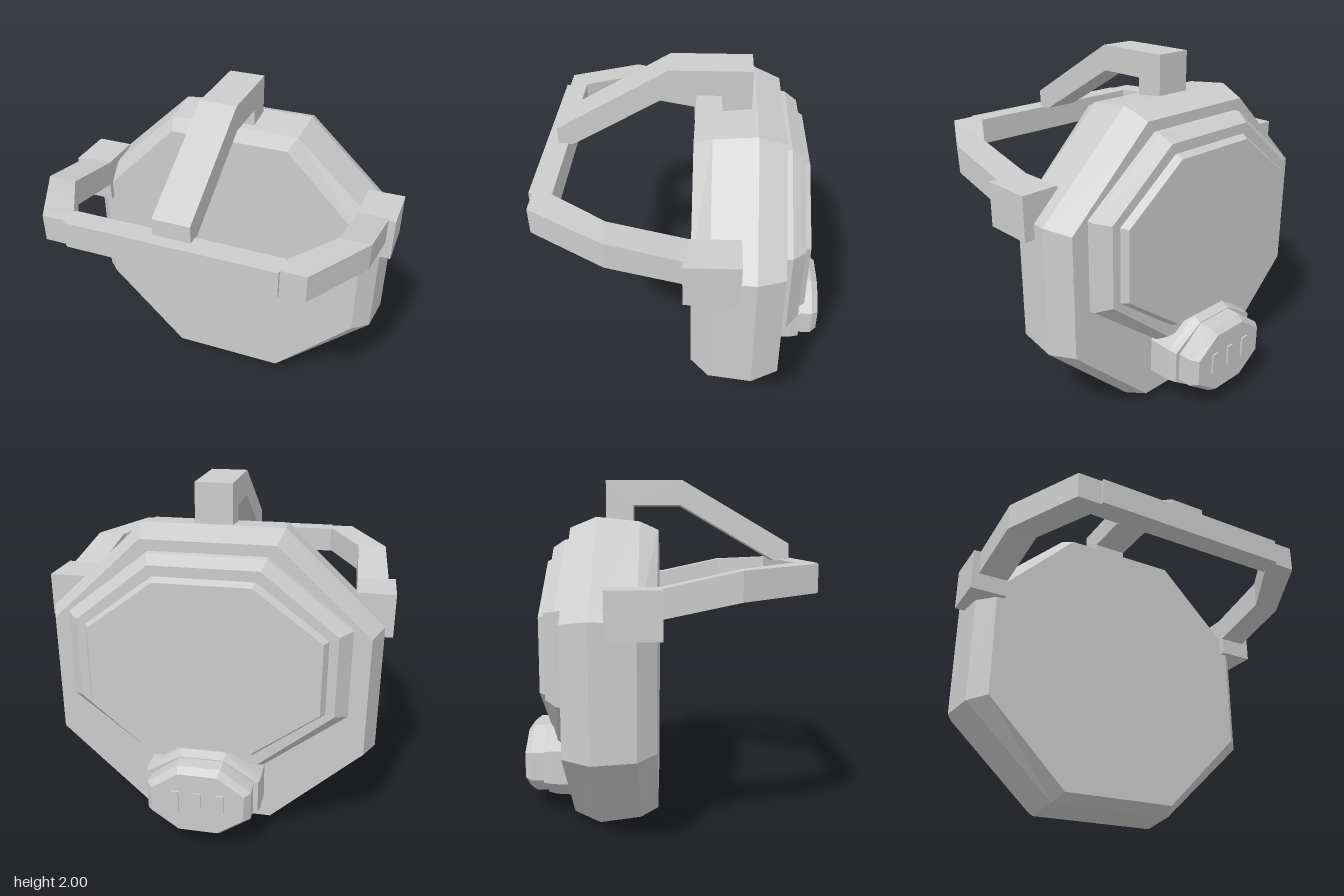
import * as THREE from 'three';

const grey = new THREE.MeshStandardMaterial({ color: 0xcccccc });
grey.name = 'plain grey';

// Skin flat facets over closed rings of points, capped at both ends.
// Rings run front to back, each anticlockwise seen from the front.
function loft(rings) {
  const pos = [];
  const tri = (...pts) => pts.forEach((p) => pos.push(...p));
  const n = rings[0].length;
  for (let r = 0; r < rings.length - 1; r++) {
    const a = rings[r], b = rings[r + 1];
    for (let i = 0; i < n; i++) {
      const j = (i + 1) % n;
      tri(a[i], b[i], b[j]);
      tri(a[i], b[j], a[j]);
    }
  }
  const first = rings[0], last = rings[rings.length - 1];
  for (let i = 1; i < n - 1; i++) {
    tri(first[0], first[i], first[i + 1]);
    tri(last[0], last[i + 1], last[i]);
  }
  const g = new THREE.BufferGeometry();
  g.setAttribute('position', new THREE.Float32BufferAttribute(pos, 3));
  g.computeVertexNormals();
  return g;
}

// Octagon ring: half width, half width of top edge, bottom, side bottom, side top, top
function octagon([z, w, e, y0, y1, y2, y3]) {
  return [[e, y0, z], [w, y1, z], [w, y2, z], [e, y3, z],
    [-e, y3, z], [-w, y2, z], [-w, y1, z], [-e, y0, z]];
}

export function createModel() {
  const model = new THREE.Group();
  const add = (name, geometry, x = 0, y = 0, z = 0) => {
    const m = new THREE.Mesh(geometry, grey);
    m.name = name;
    m.position.set(x, y, z);
    model.add(m);
  };
  const addOct = (name, sections) => add(name, loft(sections.map(octagon)));

  // Main body
  addOct('shell', [
    [-0.02, 0.83, 0.35, 0.08, 0.56, 1.23, 1.71],
    [-0.12, 0.925, 0.385, 0.035, 0.54, 1.25, 1.755],
    [-0.36, 0.95, 0.395, 0.005, 0.53, 1.26, 1.78],
    [-0.51, 0.885, 0.37, 0.065, 0.545, 1.24, 1.72],
  ]);

  // Stepped window on the back
  addOct('visorFrame', [
    [-0.5, 0.785, 0.325, 0.435, 0.79, 1.3, 1.66],
    [-0.545, 0.785, 0.325, 0.435, 0.795, 1.295, 1.655],
    [-0.615, 0.715, 0.3, 0.475, 0.82, 1.28, 1.61],
  ]);
  addOct('visorPane', [
    [-0.6, 0.675, 0.28, 0.53, 0.83, 1.26, 1.56],
    [-0.655, 0.64, 0.265, 0.56, 0.84, 1.25, 1.53],
  ]);

  // Breathing filter with slots
  addOct('filterBase', [
    [-0.5, 0.33, 0.125, 0.07, 0.21, 0.42, 0.56],
    [-0.65, 0.33, 0.125, 0.078, 0.215, 0.415, 0.552],
    [-0.7, 0.322, 0.122, 0.088, 0.22, 0.41, 0.53],
  ]);
  addOct('filterCap', [
    [-0.69, 0.295, 0.122, 0.105, 0.225, 0.395, 0.525],
    [-0.78, 0.295, 0.122, 0.105, 0.225, 0.395, 0.52],
    [-0.82, 0.262, 0.11, 0.13, 0.235, 0.385, 0.49],
  ]);
  for (const x of [-0.13, 0, 0.13]) {
    add('filterSlot', new THREE.BoxGeometry(0.045, 0.125, 0.014), x, 0.318, -0.823);
  }

  // Side straps: inner x, inner z, outer x, outer z, bottom, top
  const strap = [
    [0.585, 0.715, 0.585, 0.805, 1.385, 1.535],
    [0.6, 0.69, 0.72, 0.805, 1.385, 1.535],
    [0.772, 0.4, 0.94, 0.4, 1.355, 1.51],
    [0.785, -0.01, 0.96, -0.01, 1.27, 1.42],
  ];
  for (const s of [1, -1]) {
    const rings = strap.map(([xi, zi, xo, zo, b, t]) => {
      const ring = [[s * xi, b, zi], [s * xo, b, zo], [s * xo, t, zo], [s * xi, t, zi]];
      return s > 0 ? ring : ring.reverse();
    });
    const side = s > 0 ? 'left' : 'right';
    add(side + 'Strap', loft(rings));
    add(side + 'Buckle', new THREE.BoxGeometry(0.215, 0.25, 0.29), s * 0.8925, 1.295, -0.133);
  }
  add('frontStrap', new THREE.BoxGeometry(1.17, 0.15, 0.125), 0, 1.46, 0.7625);

  // Bent strap over the top, drawn in side profile (z, y)
  const profile = [[0.755, 1.53], [0.755, 1.63], [0.12, 2], [-0.33, 2], [-0.33, 1.74],
    [-0.17, 1.74], [-0.17, 1.855], [0.11, 1.855], [0.67, 1.53]];
  const top = new THREE.ExtrudeGeometry(
    new THREE.Shape(profile.map(([z, y]) => new THREE.Vector2(z, y))),
    { depth: 0.21, bevelEnabled: false });
  top.rotateY(-Math.PI / 2).translate(0.105, 0, 0);
  add('topStrap', top);

  return model;
}
